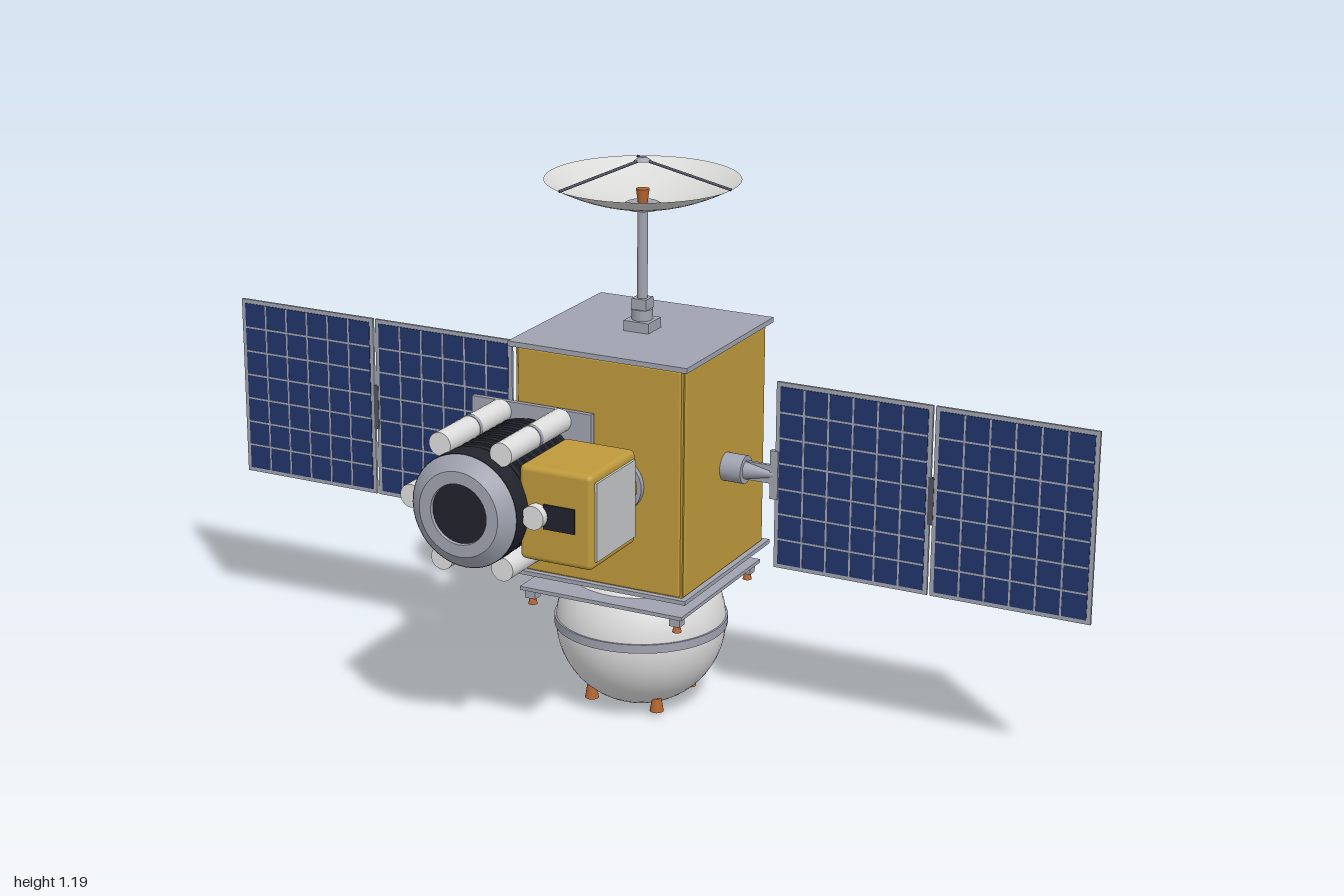
import * as THREE from 'three';
import { RoundedBoxGeometry } from 'three/addons/geometries/RoundedBoxGeometry.js';

const mat = (name, color, side = THREE.FrontSide) => {
  const m = new THREE.MeshStandardMaterial({ color, side });
  m.name = name;
  return m;
};

export function createModel() {
  const gold = mat('gold foil', 0xbf9a3c);
  const white = mat('white paint', 0xdedede);
  const grey = mat('grey metal', 0xa0a3b0);
  const dark = mat('dark metal', 0x22232c);
  const navy = mat('solar cell blue', 0x22356a);
  const copper = mat('copper nozzle', 0xb5652f);
  const silver = mat('radiator silver', 0xc4c6c8);
  const seam = mat('seam grey', 0x4e525e);
  const dishWhite = mat('dish white', 0xdadad8, THREE.DoubleSide);

  const model = new THREE.Group();
  const CZ = -0.153; // centre line of the bus
  const CY = 0.562;  // height of the arrays and the instrument

  const add = (parent, name, geo, material, x = 0, y = 0, z = 0) => {
    const mesh = new THREE.Mesh(geo, material);
    mesh.name = name;
    mesh.position.set(x, y, z);
    parent.add(mesh);
    return mesh;
  };
  const group = (name, parent, x = 0, y = 0, z = 0) => {
    const g = new THREE.Group();
    g.name = name;
    g.position.set(x, y, z);
    parent.add(g);
    return g;
  };
  const box = (w, h, d) => new THREE.BoxGeometry(w, h, d);
  const cyl = (top, bottom, h, sides = 32) => new THREE.CylinderGeometry(top, bottom, h, sides);
  const cylZ = (front, back, h, sides = 32) => cyl(front, back, h, sides).rotateX(Math.PI / 2);
  const rod = (parent, name, a, b, r, material) => {
    const mesh = add(parent, name, cyl(r, r, a.distanceTo(b), 8), material);
    mesh.position.copy(a).lerp(b, 0.5);
    mesh.quaternion.setFromUnitVectors(new THREE.Vector3(0, 1, 0), b.clone().sub(a).normalize());
  };

  // Bus: foil box with raised side blankets and two end plates
  const bus = group('bus', model, 0, 0, CZ);
  add(bus, 'busCore', box(0.384, 0.49, 0.384), gold, 0, 0.577, 0);
  for (let i = 0; i < 4; i++) {
    const side = group('busSide', bus, 0, 0.577, 0);
    side.rotation.y = i * Math.PI / 2;
    add(side, 'foilBlanket', new RoundedBoxGeometry(0.374, 0.484, 0.012, 2, 0.004), gold, 0, 0, 0.19);
  }
  add(bus, 'topPlate', box(0.41, 0.011, 0.41), grey, 0, 0.8265, 0);
  add(bus, 'bottomPlate', box(0.41, 0.009, 0.41), grey, 0, 0.329, 0);
  add(bus, 'rearRadiator', box(0.325, 0.405, 0.008), silver, 0, 0.575, -0.2);

  // Propulsion tank with collar, waist band and thrusters
  const tank = group('propulsion', model, 0, 0, CZ);
  add(tank, 'tank', new THREE.SphereGeometry(0.1825, 48, 32), white, 0, 0.186, 0);
  add(tank, 'waistBand', cyl(0.186, 0.186, 0.019, 48), grey, 0, 0.19, 0);
  add(tank, 'collar', cyl(0.138, 0.128, 0.012, 40), grey, 0, 0.32, 0);
  add(tank, 'neck', cyl(0.125, 0.125, 0.04, 40), white, 0, 0.305, 0);
  add(tank, 'thrusterPlate', box(0.38, 0.008, 0.38), grey, 0, 0.286, 0);
  for (const sx of [-1, 1]) for (const sz of [-1, 1]) {
    add(tank, 'mainNozzle', cyl(0.01, 0.015, 0.03, 16), copper, sx * 0.078, 0.031, sz * 0.078);
    add(tank, 'cornerBracket', box(0.024, 0.02, 0.024), grey, sx * 0.17, 0.273, sz * 0.17);
    add(tank, 'cornerNozzle', cyl(0.006, 0.01, 0.016, 12), copper, sx * 0.17, 0.256, sz * 0.17);
  }

  // Antenna mast and dish
  const antenna = group('antenna', model, 0, 0, CZ);
  add(antenna, 'mastBase', box(0.058, 0.022, 0.058), grey, 0, 0.843, 0);
  add(antenna, 'mastJoint', cyl(0.022, 0.022, 0.024, 24), grey, 0, 0.865, 0);
  add(antenna, 'mastCollar', box(0.034, 0.024, 0.034), grey, 0, 0.888, 0);
  add(antenna, 'mast', cyl(0.011, 0.011, 0.2, 20), grey, 0, 0.995, 0);
  add(antenna, 'dishHub', cyl(0.04, 0.036, 0.008), grey, 0, 1.094, 0);
  const profile = [];
  for (let i = 0; i <= 14; i++) {
    const r = 0.203 * i / 14;
    profile.push(new THREE.Vector2(r, 1.095 + 0.057 * (r / 0.203) ** 2));
  }
  add(antenna, 'dish', new THREE.LatheGeometry(profile, 56), dishWhite);
  add(antenna, 'feedBase', cyl(0.034, 0.04, 0.004), grey, 0, 1.1, 0);
  add(antenna, 'feedHorn', cyl(0.014, 0.01, 0.03, 16), copper, 0, 1.116, 0);
  const apex = new THREE.Vector3(0, 1.192, 0);
  for (let i = 0; i < 3; i++) {
    const a = i * Math.PI * 2 / 3;
    rod(antenna, 'feedStrut', new THREE.Vector3(0.2 * Math.cos(a), 1.151, 0.2 * Math.sin(a)), apex, 0.003, seam);
  }
  add(antenna, 'subReflector', cyl(0.008, 0.018, 0.008, 20), grey, 0, 1.193, 0);

  // Solar arrays: drive, yoke and two framed panels on each side
  const W = 0.342, H = 0.404, COLS = 6, ROWS = 7;
  for (const s of [-1, 1]) {
    const wing = group(s > 0 ? 'leftArray' : 'rightArray', model, 0, CY, CZ);
    add(wing, 'arrayDrive', cyl(0.03, 0.03, 0.05).rotateZ(Math.PI / 2), grey, s * 0.218, 0, 0);
    const boom = add(wing, 'arrayBoom', cyl(0.006, 0.02, 0.07, 24), grey, s * 0.275, 0, 0);
    boom.rotation.z = -s * Math.PI / 2;
    boom.scale.x = 1;
    add(wing, 'boomPlate', box(0.064, 0.04, 0.008), grey, s * 0.275, 0, 0);
    add(wing, 'yoke', box(0.018, 0.105, 0.012), grey, s * 0.308, 0, 0);
    add(wing, 'panelHinge', box(0.012, 0.1, 0.008), seam, s * 0.6535, 0, 0);
    for (const px of [0.481, 0.829]) {
      const panel = group('solarPanel', wing, s * px, 0, 0);
      add(panel, 'panelFrame', box(W, H, 0.006), grey);
      add(panel, 'solarCells', box(W - 0.018, H - 0.018, 0.002), navy, 0, 0, 0.0035);
      for (let i = 1; i < COLS; i++)
        add(panel, 'cellColumnLine', box(0.004, H - 0.018, 0.001), grey, (i / COLS - 0.5) * (W - 0.018), 0, 0.0047);
      for (let j = 1; j < ROWS; j++)
        add(panel, 'cellRowLine', box(W - 0.018, 0.004, 0.001), grey, 0, (j / ROWS - 0.5) * (H - 0.018), 0.0047);
      for (const y of [-0.1, 0.1])
        add(panel, 'rearStiffener', box(W * 0.78, 0.006, 0.005), seam, 0, y, -0.004);
    }
  }

  // Instrument barrel with ribs, chamfered bezel and lens
  const IX = -0.147;
  const inst = group('instrument', model, IX, CY, 0);
  add(inst, 'mountPlate', box(0.28, 0.285, 0.012), grey, 0, 0, 0.054);
  add(inst, 'barrel', cylZ(0.113, 0.113, 0.27, 40), dark, 0, 0, 0.19);
  for (let i = 0; i < 8; i++)
    add(inst, 'barrelRib', cylZ(0.119, 0.119, 0.014, 40), dark, 0, 0, 0.085 + i * 0.027);
  add(inst, 'barrelHead', cylZ(0.12, 0.12, 0.05, 40), dark, 0, 0, 0.309);
  const bezel = [[0.119, 0.334], [0.09, 0.358], [0.064, 0.358], [0.062, 0.345]].map(p => new THREE.Vector2(...p));
  for (let i = 0; i < 3; i++)
    add(inst, 'bezel', new THREE.LatheGeometry(bezel.slice(i, i + 2), 40).rotateX(Math.PI / 2), grey);
  add(inst, 'lens', cylZ(0.063, 0.063, 0.012, 40), dark, 0, 0, 0.345);

  // Six bottles around the barrel
  for (let i = 0; i < 6; i++) {
    const a = i * Math.PI / 3;
    const bottle = group('bottle', inst, 0.14 * Math.cos(a), 0.14 * Math.sin(a), 0);
    add(bottle, 'bottleBody', cylZ(0.025, 0.025, 0.246, 24), white, 0, 0, 0.185);
    add(bottle, 'bottleBand', cylZ(0.0262, 0.0262, 0.01, 24), grey, 0, 0, 0.185);
  }

  // Electronics box beside the barrel
  const unit = group('electronics', model, 0.033, CY, 0);
  add(unit, 'unitBox', new RoundedBoxGeometry(0.164, 0.2, 0.192, 3, 0.012), gold, 0, 0, 0.191);
  add(unit, 'unitRadiator', box(0.008, 0.165, 0.165), silver, 0.083, 0, 0.191);
  add(unit, 'unitSlot', box(0.07, 0.052, 0.006), dark, 0.01, 0, 0.288);
  add(unit, 'unitMount', cylZ(0.048, 0.048, 0.045), gold, 0.015, 0, 0.077);
  add(unit, 'unitFlange', cylZ(0.058, 0.058, 0.012), grey, 0.015, 0, 0.05);

  return model;
}
